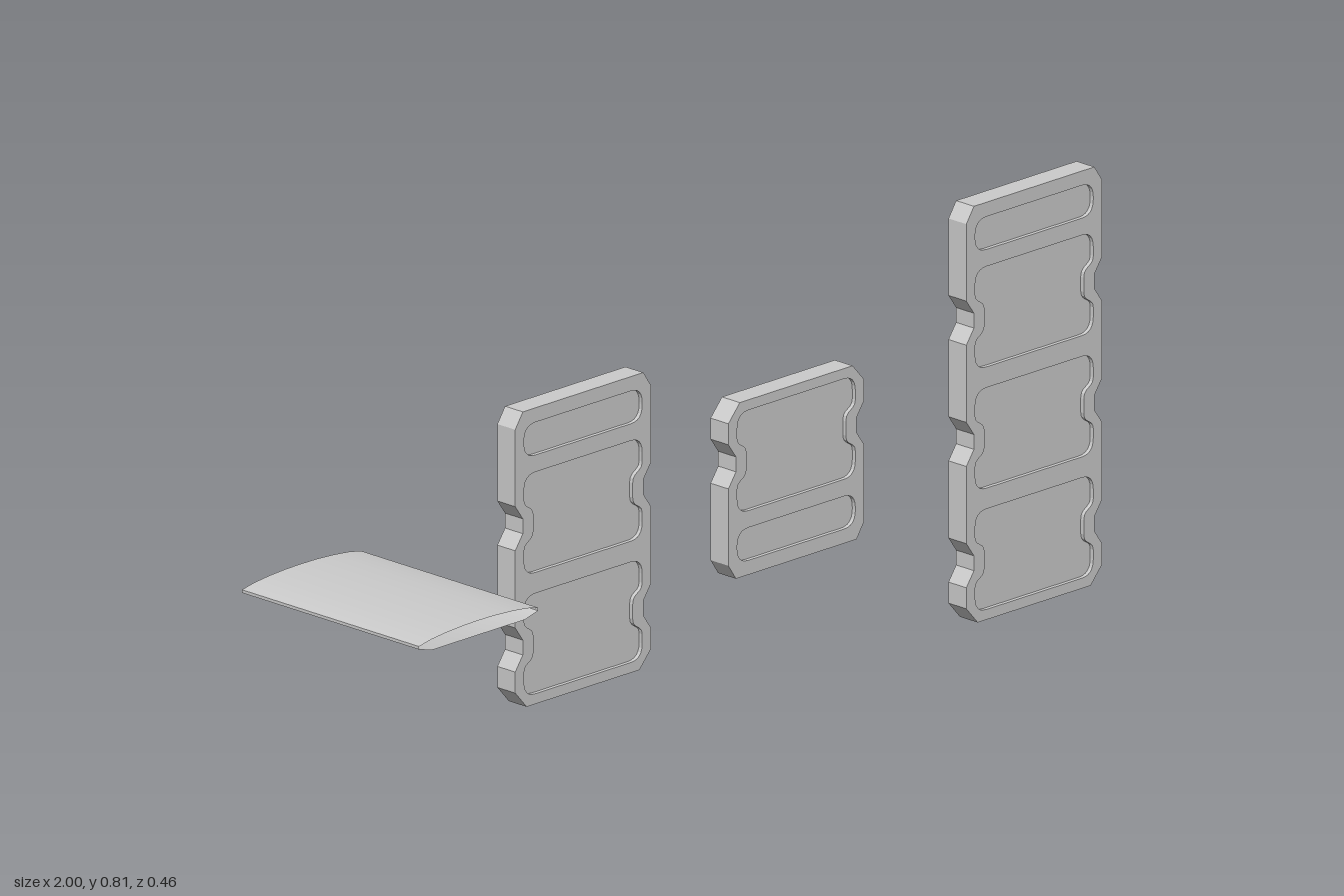
import * as THREE from 'three';
import { mergeGeometries, toCreasedNormals } from 'three/addons/utils/BufferGeometryUtils.js';

const HALF_W = 0.178, HALF_T = 0.0232, POCKET_DEPTH = 0.008, PITCH = 0.2365;
const v = (x, y) => new THREE.Vector2(x, y);

// Strip of quads along a closed counter-clockwise outline, facing outward
function wall(points, z0, z1) {
  const pos = [];
  points.forEach((a, i) => {
    const b = points[(i + 1) % points.length];
    pos.push(a.x, a.y, z0, b.x, b.y, z0, b.x, b.y, z1, a.x, a.y, z0, b.x, b.y, z1, a.x, a.y, z1);
  });
  const g = new THREE.BufferGeometry();
  g.setAttribute('position', new THREE.Float32BufferAttribute(pos, 3));
  g.computeVertexNormals();
  return g;
}

function flat(shape, z) {
  const g = new THREE.ShapeGeometry(shape).toNonIndexed();
  g.deleteAttribute('uv');
  return g.translate(0, 0, z);
}

// Rounded pocket outline; a waisted one narrows beside the edge notches
function pocketOutline(cy, halfH, waisted) {
  const w = 0.155, r = 0.03, waist = 0.13;
  const path = new THREE.Path();
  path.moveTo(w - r, -halfH);
  path.quadraticCurveTo(w, -halfH, w, -halfH + r);
  if (waisted) {
    path.lineTo(w, -0.05);
    path.bezierCurveTo(w, -0.03, waist, -0.037, waist, -0.014);
    path.lineTo(waist, 0.014);
    path.bezierCurveTo(waist, 0.037, w, 0.03, w, 0.05);
  }
  path.lineTo(w, halfH - r);
  path.quadraticCurveTo(w, halfH, w - r, halfH);
  const side = path.getPoints(6);
  return [...side, ...side.map((p) => v(-p.x, -p.y))].map((p) => v(p.x, p.y + cy));
}

// Flat panel with notched edges and recessed pockets on both faces
function panelGeometry(notches) {
  const height = 0.118 + PITCH * (notches - 1) + 0.223;
  const right = [v(HALF_W - 0.03, 0), v(HALF_W, 0.034)];
  const pockets = [];
  for (let i = 0; i < notches; i++) {
    const y = 0.118 + PITCH * i;
    right.push(v(HALF_W, y - 0.043), v(HALF_W - 0.02, y - 0.0145),
      v(HALF_W - 0.02, y + 0.0145), v(HALF_W, y + 0.043));
    pockets.push(pocketOutline(y, 0.098, true));
  }
  right.push(v(HALF_W, height - 0.03), v(HALF_W - 0.02, height));
  pockets.push(pocketOutline(height - 0.06, 0.032, false));
  const outline = [...right, ...right.map((p) => v(-p.x, p.y)).reverse()];

  const face = new THREE.Shape(outline);
  face.holes = pockets.map((p) => new THREE.Path(p));
  const side = [flat(face, HALF_T)];
  for (const p of pockets) {
    side.push(flat(new THREE.Shape(p), HALF_T - POCKET_DEPTH));
    side.push(wall([...p].reverse(), HALF_T - POCKET_DEPTH, HALF_T));
  }
  const front = mergeGeometries(side);
  const back = front.clone().rotateY(Math.PI);
  return mergeGeometries([front, back, wall(outline, -HALF_T, HALF_T)]).translate(0, -height / 2, 0);
}

// Thin sleeve with a gently arched top, open at both ends
function sleeveGeometry() {
  const right = [v(0.122, 0.395), v(0.156, 0.404), v(0.156, 0.41), v(0.125, 0.416), v(0.085, 0.42), v(0.04, 0.4225)];
  const ring = [...right, v(0, 0.423), ...right.map((p) => v(-p.x, p.y)).reverse()];
  return toCreasedNormals(wall(ring, -0.23, 0.23), 0.28);
}

export function createModel() {
  const model = new THREE.Group();
  const material = new THREE.MeshStandardMaterial({ color: 0xcccccc });

  const panels = [
    { name: 'mediumPanel', notches: 2, x: -0.361, y: 0.412 },
    { name: 'smallPanel', notches: 1, x: 0.198, y: 0.41, flipped: true },
    { name: 'tallPanel', notches: 3, x: 0.822, y: 0.407 },
  ];
  for (const { name, notches, x, y, flipped } of panels) {
    const panel = new THREE.Mesh(panelGeometry(notches), material);
    panel.name = name;
    panel.position.set(x, y, 0);
    if (flipped) panel.rotation.z = Math.PI;
    model.add(panel);
  }

  const sleeveMaterial = material.clone();
  sleeveMaterial.side = THREE.DoubleSide;
  const sleeve = new THREE.Mesh(sleeveGeometry(), sleeveMaterial);
  sleeve.name = 'flatSleeve';
  sleeve.position.x = -0.844;
  model.add(sleeve);
  return model;
}
